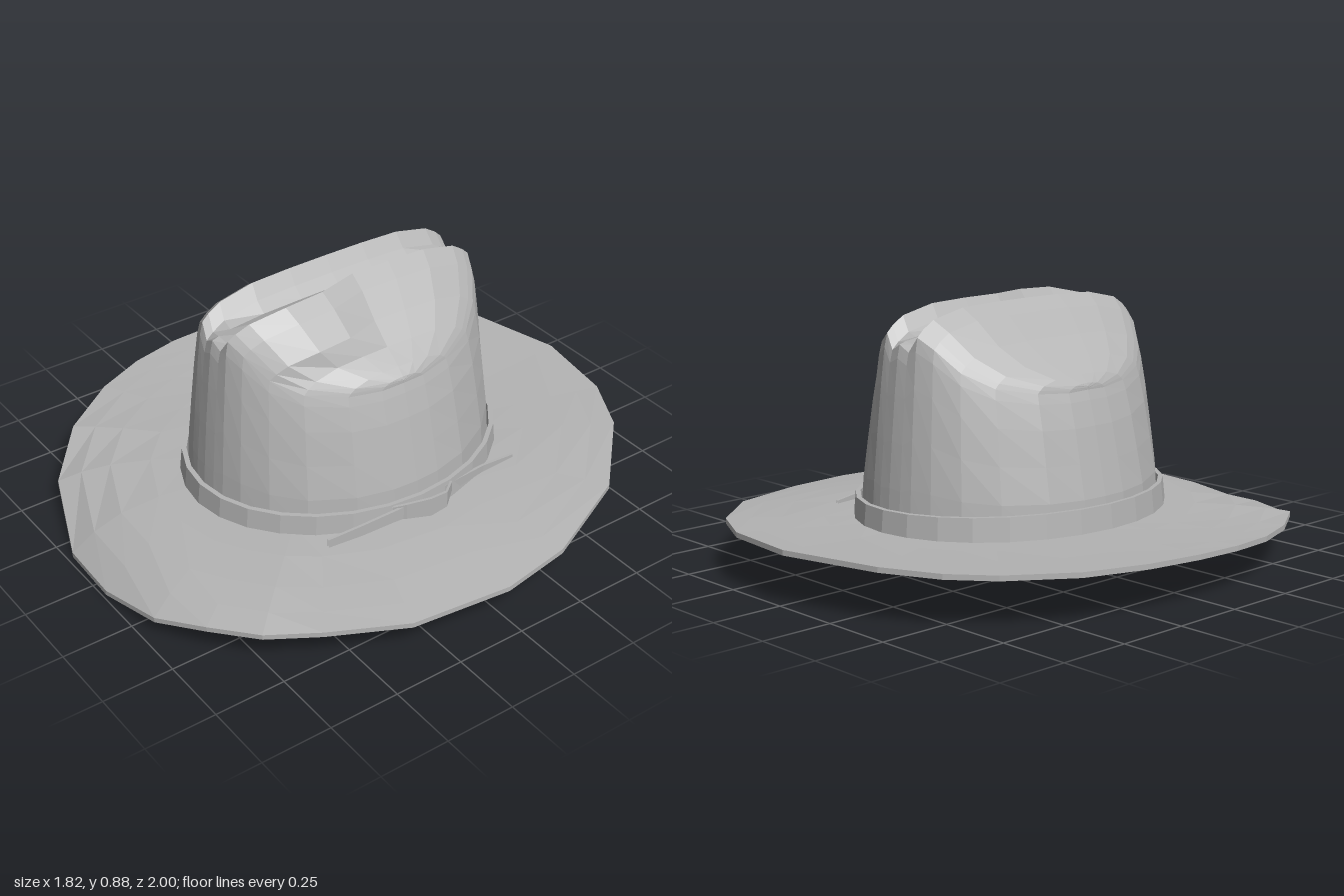
import * as THREE from 'three';

const felt = new THREE.MeshStandardMaterial({ color: 0xb4b4b4, flatShading: true, side: THREE.DoubleSide });
felt.name = 'grey felt';

// Skin a list of point rows; rows run back -> +x -> front, stacked upwards
function loft(rows, closed) {
  const pos = [], n = rows[0].length;
  for (let j = 0; j < rows.length - 1; j++) {
    for (let i = 0; i < (closed ? n : n - 1); i++) {
      const k = (i + 1) % n;
      const a = rows[j][i], b = rows[j][k], c = rows[j + 1][k], d = rows[j + 1][i];
      pos.push(...a, ...d, ...c, ...a, ...c, ...b);
    }
  }
  const g = new THREE.BufferGeometry();
  g.setAttribute('position', new THREE.Float32BufferAttribute(pos, 3));
  g.computeVertexNormals();
  return g;
}

function add(group, name, geometry) {
  const m = new THREE.Mesh(geometry, felt);
  m.name = name;
  group.add(m);
  return m;
}

// Brim: uneven outline (x, top height, z), drooping at the front
const RIM = [
  [-0.02, 0.185, -1], [0.28, 0.178, -0.96], [0.48, 0.17, -0.86], [0.72, 0.145, -0.62],
  [0.87, 0.12, -0.28], [0.91, 0.113, -0.02], [0.87, 0.113, 0.34], [0.75, 0.122, 0.6],
  [0.65, 0.122, 0.76], [0.5, 0.105, 0.87], [0.33, 0.07, 0.96], [0.08, 0.03, 0.995],
  [-0.17, 0.018, 0.98], [-0.48, 0.08, 0.86], [-0.67, 0.135, 0.69], [-0.81, 0.15, 0.48],
  [-0.88, 0.157, 0.3], [-0.91, 0.165, 0.12], [-0.91, 0.17, -0.06], [-0.88, 0.172, -0.26],
  [-0.81, 0.174, -0.48], [-0.67, 0.176, -0.69], [-0.55, 0.18, -0.81], [-0.37, 0.184, -0.91],
];

function brimRing(t, drop) {
  return RIM.map(([x, y, z]) => {
    const a = Math.atan2(z, x / 0.91);
    const ix = 0.44 * Math.cos(a), iz = 0.55 * Math.sin(a), base = 0.16;
    const front = z > 0.6 ? 3 : 1.4;
    return [ix + (x - ix) * t, base + (y - base) * t ** front - drop, iz + (z - iz) * t];
  });
}

function brimGeometry() {
  const centre = RIM.map(() => [0, 0.14, 0]);
  const levels = [0, 0.3, 0.6, 0.82, 1];
  return loft([
    centre,
    ...levels.map((t) => brimRing(t, 0.018)),
    ...levels.slice().reverse().map((t) => brimRing(t, 0)),
  ], true);
}

// Crown: height across the top, with a centre crease between two ridges
const TOP = [[0, 0.805], [0.04, 0.835], [0.075, 0.885], [0.13, 0.845], [0.2, 0.765],
  [0.27, 0.7], [0.33, 0.655], [0.355, 0.63], [0.36, 0.62]];
const COLUMNS = [...TOP.slice(1).reverse().map(([x, h]) => [-x, h]), ...TOP];

function topPoint([x, h], v) {
  const s = Math.sqrt(Math.max(0, 1 - (x / 0.36) ** 2));
  const z = 0.5 * s * v;
  const roll = 0.075 * Math.abs(v) ** 7 * s * (Math.abs(x) < 0.03 ? 0.3 : 1);
  // The right ridge bends outwards toward the front
  const bend = x > 0.03 && x < 0.25 && v > 0 ? 0.18 * v * (1 - v) : 0;
  return [x + bend, h - roll - 0.012 * v * v, z];
}

function crownGeometries() {
  const steps = [-1, -0.95, -0.86, -0.6, -0.3, 0, 0.3, 0.6, 0.86, 0.95, 1];
  const top = COLUMNS.slice().reverse().map((c) => steps.map((v) => topPoint(c, v)));
  const edge = [
    ...COLUMNS.map((c) => topPoint(c, -1)),
    ...COLUMNS.slice(1, -1).reverse().map((c) => topPoint(c, 1)),
  ];
  // Wall levels: height fraction, x scale, z scale
  const wall = [[0, 1.26, 1.12], [0.25, 1.235, 1.1], [0.5, 1.165, 1.075], [0.75, 1.095, 1.045], [0.93, 1.03, 1.02], [1, 1, 1]]
    .map(([t, sx, sz]) => edge.map(([x, y, z]) => [x * sx, 0.15 + (y - 0.15) * t, z * sz]));
  return [loft(wall, true), loft(top, false)];
}

// Ribbon piece: a thin upright strip through points (x, low y, high y, z)
function ribbon(points) {
  const t = 0.005;
  return loft([
    points.map(([x, lo, , z]) => [x - t, lo, z]),
    points.map(([x, lo, , z]) => [x + t, lo, z]),
    points.map(([x, , hi, z]) => [x + t, hi, z]),
    points.map(([x, , hi, z]) => [x - t, hi, z]),
    points.map(([x, lo, , z]) => [x - t, lo, z]),
  ].map((row) => row.reverse()).reverse(), false);
}

export function createModel() {
  const hat = new THREE.Group();
  hat.name = 'hat';
  add(hat, 'brim', brimGeometry());

  const [wall, top] = crownGeometries();
  add(hat, 'crownWall', wall);
  add(hat, 'crownTop', top);

  // Hat band, a thin hollow loop tipped slightly to one side
  const profile = [[0.95, 0.15], [1, 0.15], [0.985, 0.235], [0.955, 0.235], [0.95, 0.15]]
    .map(([x, y]) => new THREE.Vector2(x, y));
  const band = add(hat, 'hatBand', new THREE.LatheGeometry(profile, 28));
  band.scale.set(0.48, 1, 0.585);
  band.rotation.z = -0.015;

  // Bow on the left side
  const bow = new THREE.Group();
  bow.name = 'bow';
  add(bow, 'bowKnot', ribbon([[0.465, 0.18, 0.22, -0.13], [0.515, 0.172, 0.232, -0.07],
    [0.52, 0.168, 0.238, 0], [0.49, 0.172, 0.23, 0.08], [0.465, 0.175, 0.22, 0.12]]));
  add(bow, 'bowBackTail', ribbon([[0.415, 0.162, 0.172, -0.44], [0.425, 0.165, 0.19, -0.3],
    [0.465, 0.175, 0.215, -0.1]]));
  add(bow, 'bowFrontTail', ribbon([[0.485, 0.175, 0.22, 0.08], [0.475, 0.17, 0.21, 0.25],
    [0.467, 0.175, 0.205, 0.38]]));
  hat.add(bow);
  return hat;
}
